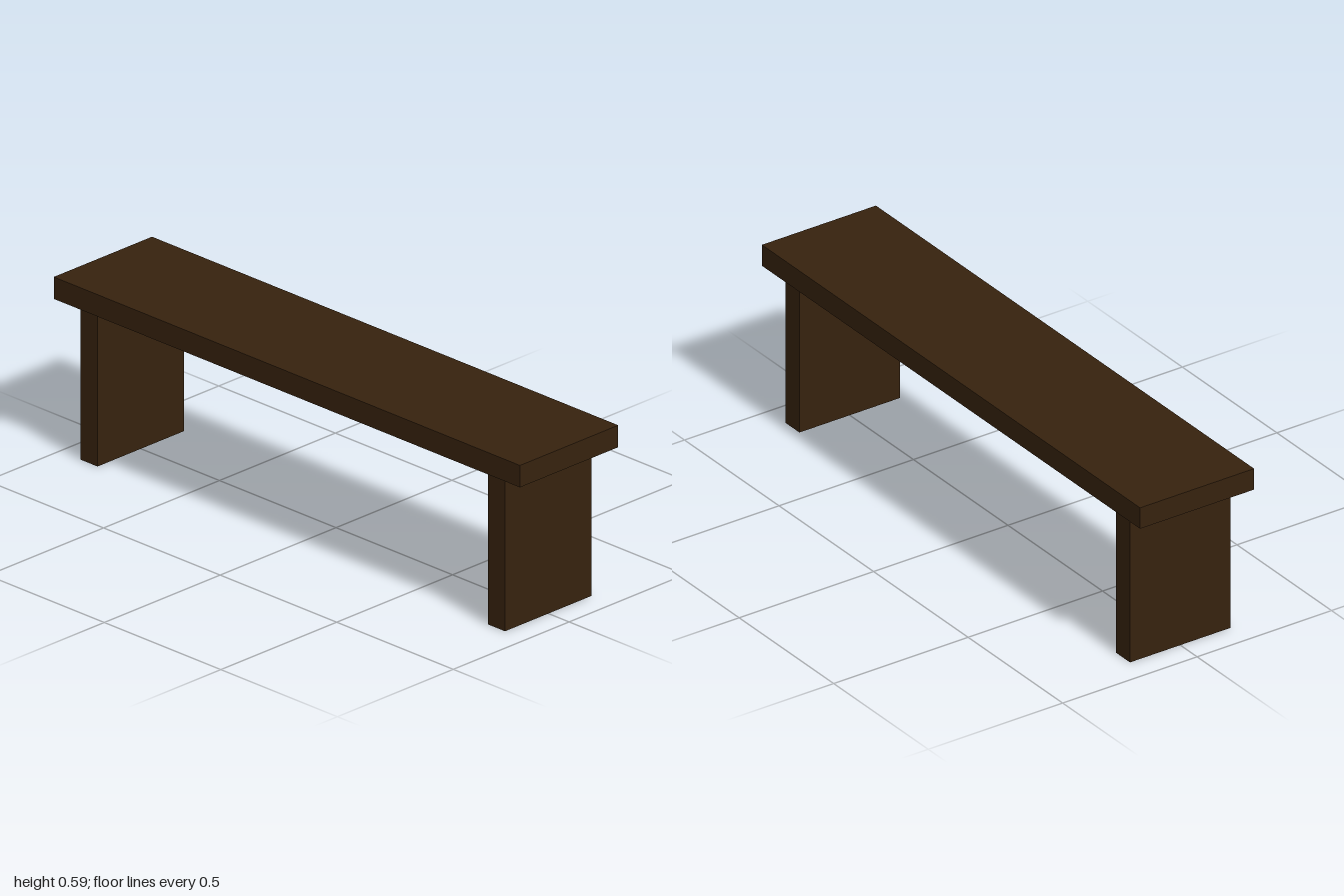
import * as THREE from 'three';

// Box wall without its top and bottom faces (a hollow, open-ended leg)
function openBox(w, h, d) {
  const g = new THREE.BoxGeometry(w, h, d);
  const index = Array.from(g.index.array);
  index.splice(12, 12); // top and bottom quads
  g.setIndex(index);
  g.clearGroups();
  return g;
}

export function createModel() {
  const bench = new THREE.Group();
  bench.name = 'bench';

  const darkWood = new THREE.MeshStandardMaterial({ color: 0x36220e, side: THREE.DoubleSide });
  darkWood.name = 'darkWood';

  const legHeight = 0.515, seatThickness = 0.073;

  // Seat plank
  const seat = new THREE.Mesh(new THREE.BoxGeometry(2, seatThickness, 0.424), darkWood);
  seat.name = 'seat';
  seat.position.y = legHeight + seatThickness / 2;
  bench.add(seat);

  // Slab legs, open underneath
  const legGeometry = openBox(0.074, legHeight, 0.374);
  for (const side of [1, -1]) {
    const leg = new THREE.Mesh(legGeometry, darkWood);
    leg.name = side > 0 ? 'leftLeg' : 'rightLeg';
    leg.position.set(side * 0.874, legHeight / 2, 0);
    bench.add(leg);
  }

  return bench;
}
